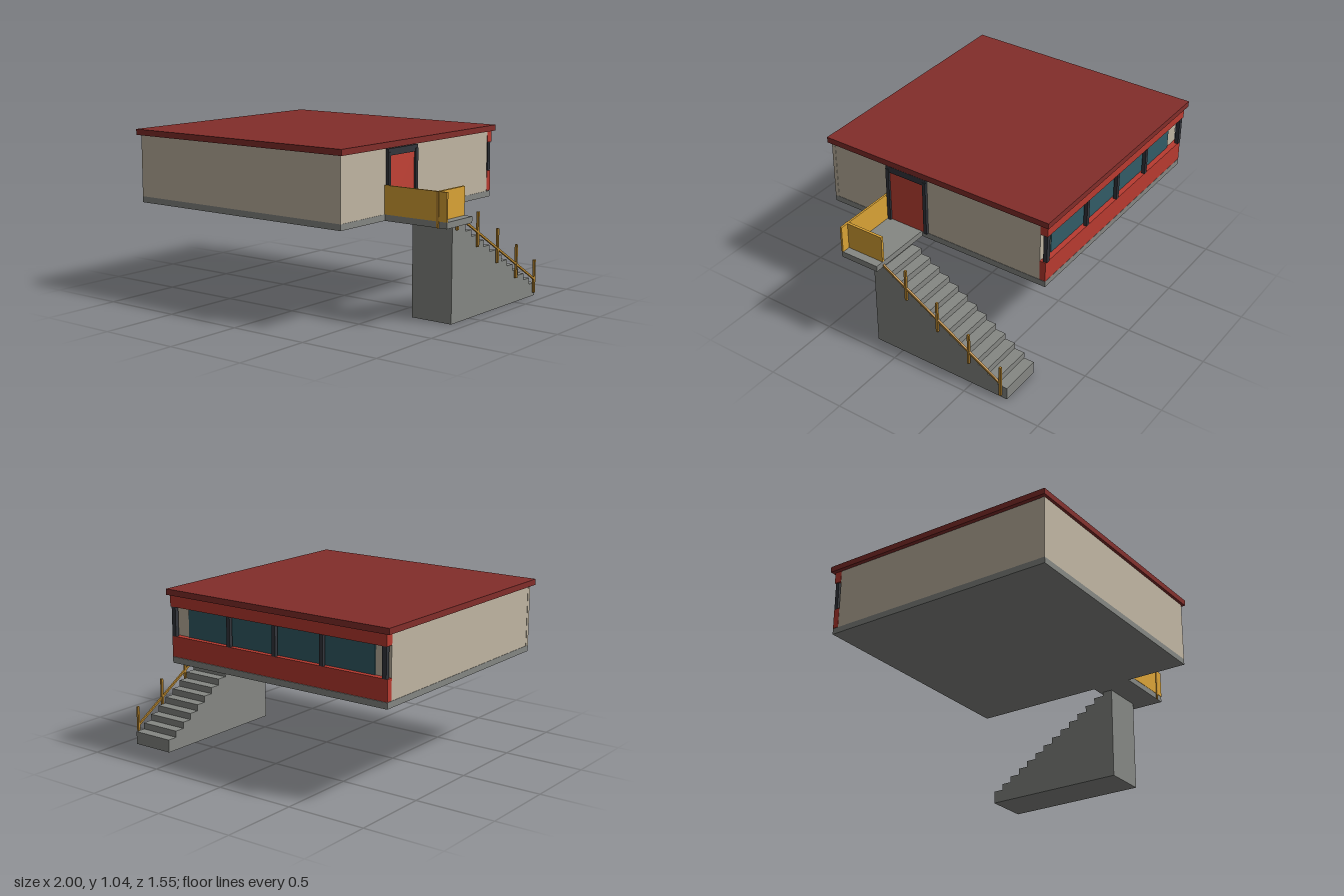
import * as THREE from 'three';

const mat = (color) => new THREE.MeshStandardMaterial({ color });

export function createModel() {
  const model = new THREE.Group();
  const roofRed = mat(0x822d2a), red = mat(0xb83a30), doorRed = mat(0xc24236);
  const beige = mat(0xc0b5a2), concrete = mat(0x858783), dark = mat(0x33363c);
  const yellow = mat(0xdaa336), brass = mat(0xb8862f), glass = mat(0x325c66);

  // Box given by its extents along each axis
  const box = (name, material, [x0, x1], [y0, y1], [z0, z1], parent = model) => {
    const m = new THREE.Mesh(new THREE.BoxGeometry(x1 - x0, y1 - y0, z1 - z0), material);
    m.position.set((x0 + x1) / 2, (y0 + y1) / 2, (z0 + z1) / 2);
    m.name = name;
    parent.add(m);
    return m;
  };
  const group = (name) => {
    const g = new THREE.Group();
    g.name = name;
    model.add(g);
    return g;
  };

  // House body
  box('roof', roofRed, [-1, 0.59], [1.0, 1.036], [-0.78, 0.775]);
  box('floorSlab', concrete, [-0.975, 0.572], [0.585, 0.622], [-0.755, 0.757]);
  box('walls', beige, [-0.973, 0.57], [0.622, 1.0], [-0.717, 0.735]);
  box('frontWall', beige, [-0.975, 0.572], [0.622, 1.0], [0.733, 0.757]);

  // Back window strip
  const windows = group('windowStrip');
  box('upperBand', red, [-0.975, 0.572], [0.93, 1.0], [-0.765, -0.717], windows);
  box('lowerBand', red, [-0.975, 0.572], [0.624, 0.75], [-0.755, -0.717], windows);
  box('glass', glass, [-0.87, 0.467], [0.75, 0.93], [-0.723, -0.717], windows);
  for (let i = 0; i < 3; i++) {
    const x = -0.535 + i * 0.3335;
    box('mullion', dark, [x - 0.012, x + 0.012], [0.75, 0.93], [-0.758, -0.735], windows);
  }
  for (const x of [-0.955, 0.552])
    box('cornerPost', dark, [x - 0.014, x + 0.014], [0.75, 0.93], [-0.76, -0.735], windows);

  // Door with frame on the left side wall
  const door = group('door');
  box('doorPanel', doorRed, [0.565, 0.576], [0.622, 0.955], [0.075, 0.32], door);
  box('doorLintel', dark, [0.565, 0.585], [0.955, 0.995], [0.055, 0.342], door);
  for (const z of [0.066, 0.331])
    box('doorJamb', dark, [0.565, 0.589], [0.622, 0.975], [z - 0.011, z + 0.011], door);

  // Landing and its parapet
  box('landing', concrete, [0.572, 0.995], [0.585, 0.622], [0.1, 0.355]);
  box('frontParapet', yellow, [0.572, 0.995], [0.622, 0.79], [0.345, 0.357]);
  box('sideParapet', yellow, [0.927, 0.943], [0.622, 0.79], [0.1, 0.347]);
  box('parapetPost', brass, [0.926, 0.942], [0.585, 0.79], [0.345, 0.361]);

  // Stairs: full-height columns rising toward the landing
  const stairs = group('stairs');
  const depth = 0.925 / 14;
  for (let i = 0; i < 14; i++) {
    const z = -0.74 + i * depth;
    box('step', concrete, [0.645, 0.919], [0, 0.08 + i * 0.04], [z, z + depth], stairs);
  }

  // Handrail with upright posts
  const rail = group('handrail');
  for (let i = 0; i < 5; i++) {
    const z = -0.705 + i * 0.2165, y = 0.025 + i * 0.13;
    box('railPost', brass, [0.927, 0.941], [y, y + 0.206], [z - 0.007, z + 0.007], rail);
  }
  const a = new THREE.Vector3(0.934, 0.111, -0.705), b = new THREE.Vector3(0.934, 0.63, 0.161);
  const bar = new THREE.Mesh(new THREE.BoxGeometry(0.012, 0.012, a.distanceTo(b)), brass);
  bar.name = 'railBar';
  bar.position.copy(a).lerp(b, 0.5);
  bar.rotation.x = -Math.atan2(b.y - a.y, b.z - a.z);
  rail.add(bar);

  return model;
}
